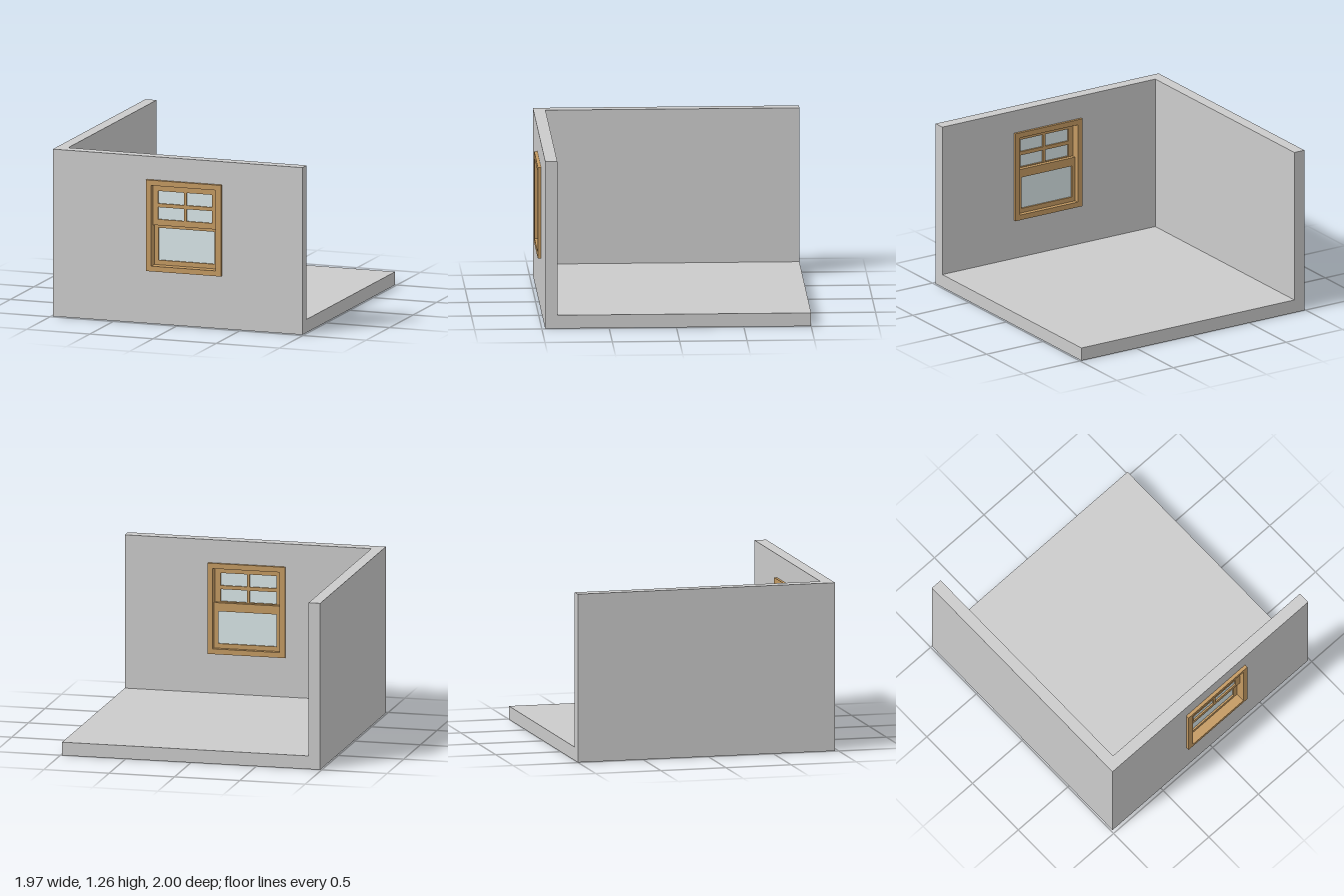
import * as THREE from 'three';

const wallMat = new THREE.MeshStandardMaterial({ color: 0xcccccc });
const woodMat = new THREE.MeshStandardMaterial({ color: 0xc49a62 });
const glassMat = new THREE.MeshStandardMaterial({ color: 0xd9e6e8 });

// Rectangle given as [x0, x1, y0, y1]
function trace(path, [x0, x1, y0, y1]) {
  path.moveTo(x0, y0);
  path.lineTo(x1, y0);
  path.lineTo(x1, y1);
  path.lineTo(x0, y1);
  path.closePath();
  return path;
}

// Upright slab between z0 and z1 with rectangular openings
function panel(name, rect, z0, z1, material, openings = []) {
  const shape = trace(new THREE.Shape(), rect);
  for (const o of openings) shape.holes.push(trace(new THREE.Path(), o));
  const geometry = new THREE.ExtrudeGeometry(shape, { depth: z1 - z0, bevelEnabled: false });
  geometry.translate(0, 0, z0);
  const mesh = new THREE.Mesh(geometry, material);
  mesh.name = name;
  return mesh;
}

function createWindow() {
  const win = new THREE.Group();
  win.name = 'window';
  const casing = [-0.243, 0.35, 0.4, 1.09];
  const rough = [-0.222, 0.329, 0.42, 1.07];
  const clear = [-0.2, 0.31, 0.44, 1.05];

  // Casing trim on both wall faces, and the lining between them
  win.add(panel('outerCasing', casing, 0.975, 1.0, woodMat, [clear]));
  win.add(panel('innerCasing', casing, 0.865, 0.885, woodMat, [clear]));
  win.add(panel('jambLining', rough, 0.885, 0.975, woodMat, [clear]));

  // Upper sash: four panes, set toward the outside
  const panes = [];
  for (const [x0, x1] of [[-0.16, 0.044], [0.064, 0.265]])
    for (const [y0, y1] of [[0.79, 0.882], [0.91, 1.005]]) panes.push([x0, x1, y0, y1]);
  win.add(panel('upperSash', [-0.2, 0.31, 0.745, 1.05], 0.932, 0.962, woodMat, panes));
  win.add(panel('upperGlass', [-0.17, 0.275, 0.78, 1.015], 0.944, 0.95, glassMat));

  // Lower sash: one pane, set toward the inside
  const pane = [-0.17, 0.275, 0.475, 0.72];
  win.add(panel('lowerSash', [-0.2, 0.31, 0.44, 0.785], 0.9, 0.931, woodMat, [pane]));
  win.add(panel('lowerGlass', [-0.18, 0.285, 0.465, 0.73], 0.912, 0.918, glassMat));
  return win;
}

export function createModel() {
  const room = new THREE.Group();
  room.name = 'roomCorner';
  const height = 1.265;

  room.add(panel('frontWall', [-0.988, 0.987, 0, height], 0.885, 0.975, wallMat,
    [[-0.222, 0.329, 0.42, 1.07]]));
  room.add(panel('sideWall', [-0.988, -0.9, 0, height], -1, 0.885, wallMat));
  room.add(panel('floor', [-0.9, 0.987, 0, 0.1], -1, 0.885, wallMat));
  room.add(createWindow());
  return room;
}
